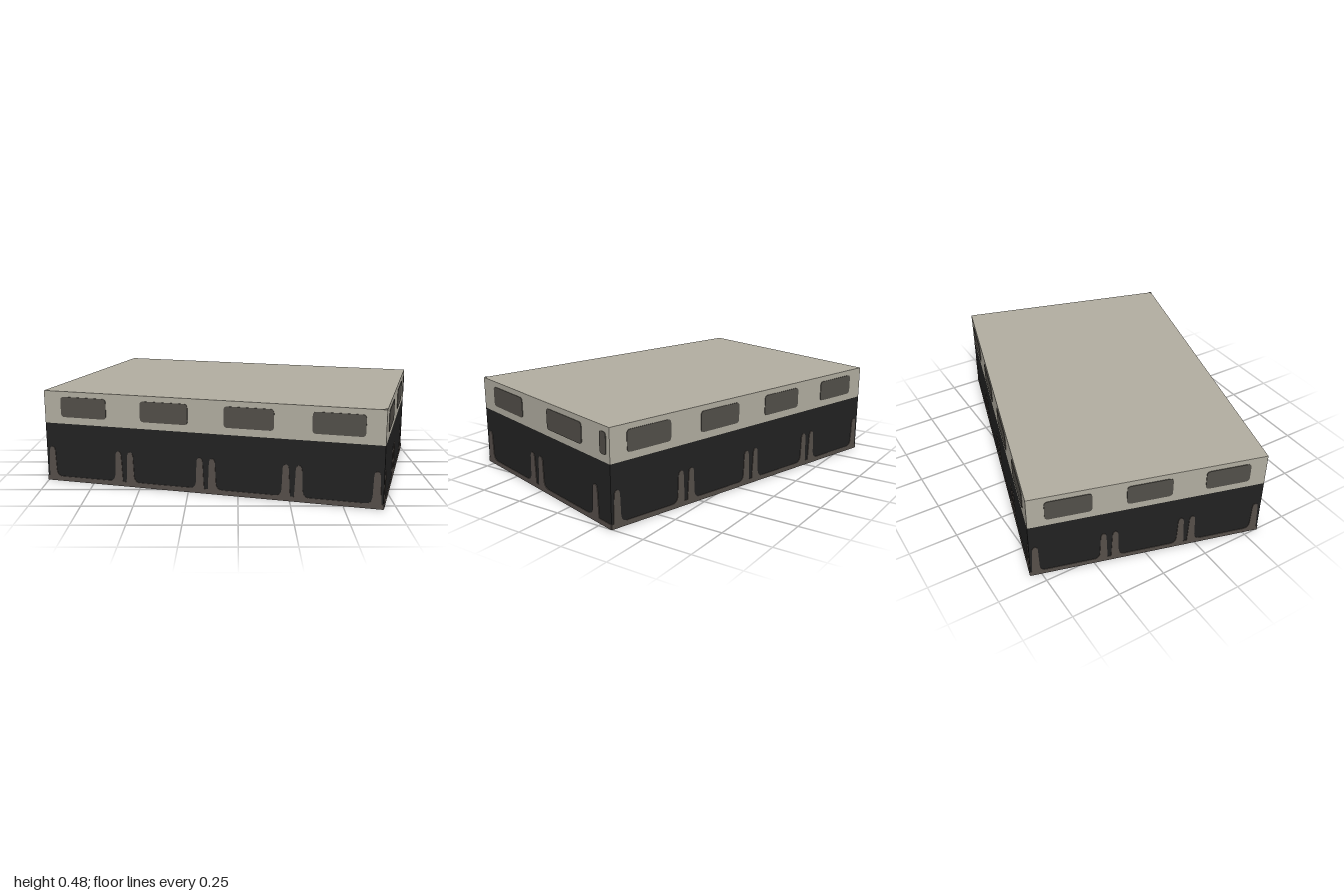
import * as THREE from 'three';

const W = 1.75, D = 1.173, H = 0.48, SPLIT = 0.31, T = 0.006;

const mat = (name, color) => {
  const m = new THREE.MeshStandardMaterial({ color, side: THREE.DoubleSide });
  m.name = name;
  return m;
};

// Thin plate centred on the wall sheet, so it shows inside and outside
function plate(shape, material, name) {
  const g = new THREE.ExtrudeGeometry(shape, { depth: T, bevelEnabled: false, curveSegments: 5 });
  g.translate(0, 0, -T / 2);
  const m = new THREE.Mesh(g, material);
  m.name = name;
  return m;
}

function sheet(x0, x1, y0, y1, material, name) {
  const m = new THREE.Mesh(new THREE.PlaneGeometry(x1 - x0, y1 - y0), material);
  m.position.set((x0 + x1) / 2, (y0 + y1) / 2, 0);
  m.name = name;
  return m;
}

function windowShape(x0, x1, y0, y1) {
  const r = Math.min(0.02, (x1 - x0) / 3), s = new THREE.Shape();
  s.moveTo(x0 + r, y0);
  s.lineTo(x1 - r, y0).quadraticCurveTo(x1, y0, x1, y0 + r);
  s.lineTo(x1, y1 - r).quadraticCurveTo(x1, y1, x1 - r, y1);
  s.lineTo(x0 + r, y1).quadraticCurveTo(x0, y1, x0, y1 - r);
  s.lineTo(x0, y0 + r).quadraticCurveTo(x0, y0, x0 + r, y0);
  return s;
}

// Base strip with slim round-topped posts standing beside each joint
function frameShape(length, joints, k) {
  const base = 0.025, top = 0.185, s = new THREE.Shape();
  s.moveTo(length, 0);
  s.lineTo(0, 0);
  s.lineTo(0, base);
  for (const [u, left, right] of joints) {
    const x = (d) => u * length + d * k;
    if (left) {
      s.lineTo(x(-0.085), base);
      s.quadraticCurveTo(x(-0.055), base, x(-0.052), 0.06);
      s.lineTo(x(-0.048), top - 0.02);
      s.bezierCurveTo(x(-0.046), top + 0.006, x(-0.018), top + 0.006, x(-0.017), top - 0.02);
      s.lineTo(x(-0.01), base);
    }
    if (right) {
      s.lineTo(x(0.01), base);
      s.lineTo(x(0.017), top - 0.02);
      s.bezierCurveTo(x(0.018), top + 0.006, x(0.046), top + 0.006, x(0.048), top - 0.02);
      s.lineTo(x(0.052), 0.06);
      s.quadraticCurveTo(x(0.055), base, x(0.085), base);
    }
  }
  s.lineTo(length, base);
  return s;
}

export function createModel() {
  const stone = mat('pale stone', 0xb0ac9f);
  const glass = mat('window grey', 0x514e48);
  const dark = mat('shopfront black', 0x212121);
  const brown = mat('frame brown', 0x554e49);

  const building = new THREE.Group();
  building.name = 'building';

  // Evenly divided bays
  const bays = (n) => ({
    joints: Array.from({ length: n + 1 }, (_, i) => [i / n, i > 0, i < n]),
    windows: Array.from({ length: n }, (_, i) => [(i + 0.212) / n, (i + 0.788) / n]),
  });
  // Two full bays and a narrow remainder
  const cutBays = {
    joints: [[0, false, true], [0.455, true, true], [0.93, true, false], [1, true, false]],
    windows: [[0.097, 0.354], [0.557, 0.814], [0.937, 0.978]],
  };
  cutBays.joints.pop();

  const walls = [
    ['frontWall', W, -W / 2, D / 2, 0, bays(4), 1],
    ['rightWall', D, W / 2, D / 2, Math.PI / 2, cutBays, 1.2],
    ['backWall', W, W / 2, -D / 2, Math.PI, bays(4), 1],
    ['leftWall', D, -W / 2, -D / 2, -Math.PI / 2, bays(3), 0.9],
  ];
  for (const [name, length, x, z, turn, layout, k] of walls) {
    const wall = new THREE.Group();
    wall.name = name;
    wall.add(sheet(0, length, 0, SPLIT, dark, 'shopfront'));
    wall.add(sheet(0, length, SPLIT, H, stone, 'upperBand'));
    wall.add(plate(frameShape(length, layout.joints, k), brown, 'shopfrontFrame'));
    for (const [a, b] of layout.windows) {
      wall.add(plate(windowShape(a * length, b * length, 0.346, 0.452), glass, 'window'));
    }
    wall.position.set(x, 0, z);
    wall.rotation.y = turn;
    building.add(wall);
  }

  // Flat roof, open underneath
  const roof = new THREE.Mesh(new THREE.PlaneGeometry(W, D).rotateX(-Math.PI / 2), stone);
  roof.name = 'roof';
  roof.position.y = H;
  building.add(roof);

  // Small dark mark on one roof corner
  const mark = new THREE.Shape([[0, 0], [0, 0.03], [-0.022, 0]].map((p) => new THREE.Vector2(...p)));
  const corner = new THREE.Mesh(new THREE.ShapeGeometry(mark).rotateX(-Math.PI / 2), glass);
  corner.name = 'roofCornerMark';
  corner.position.set(W / 2, H + 0.002, D / 2);
  building.add(corner);

  building.rotation.y = -0.2747;
  const model = new THREE.Group();
  model.name = 'model';
  model.add(building);
  return model;
}
